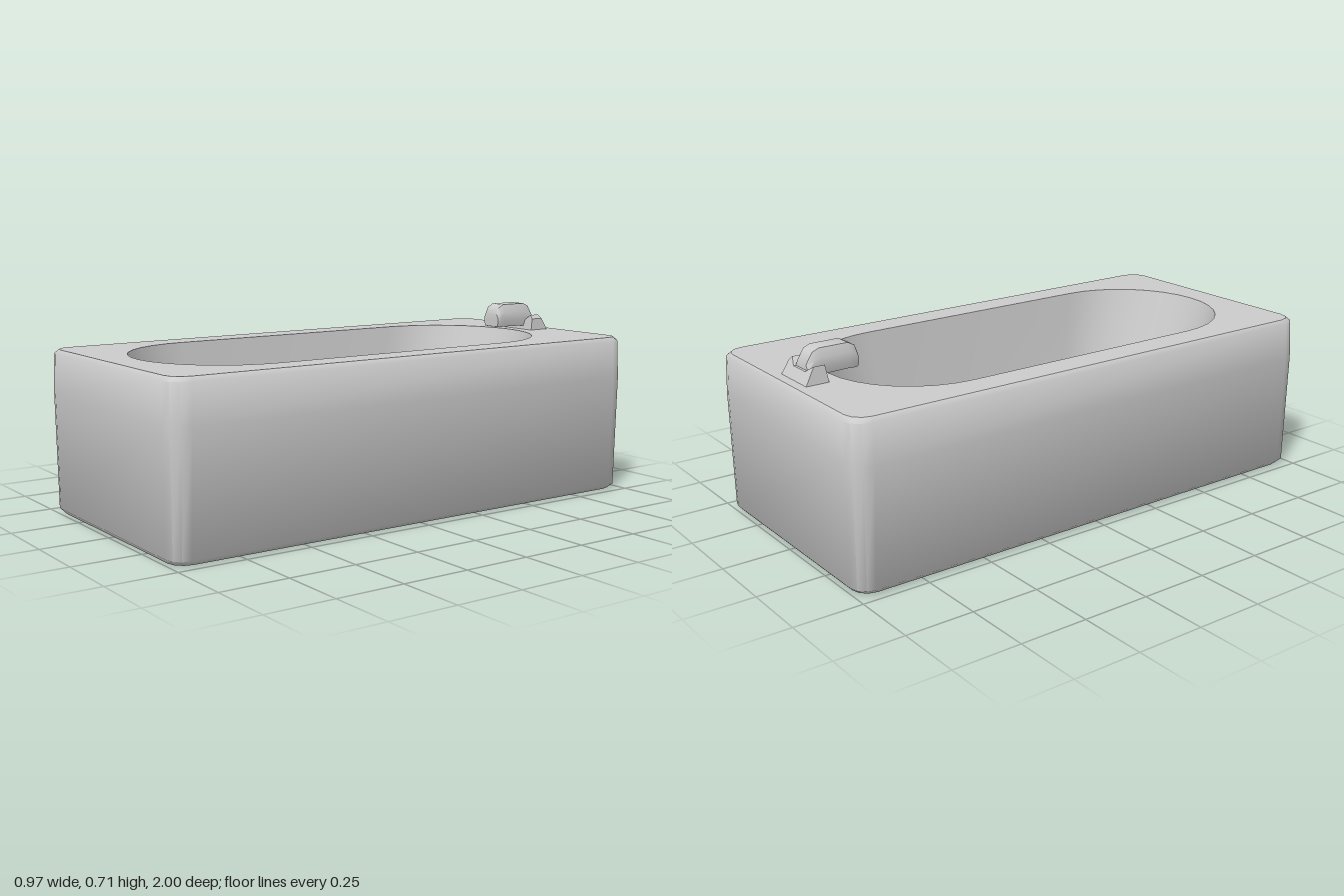
import * as THREE from 'three';
import { toCreasedNormals } from 'three/addons/utils/BufferGeometryUtils.js';

// Horizontal rounded rectangle, counter-clockwise seen from above
function roundedRing(y, halfX, zBack, zFront, r, steps) {
  const points = [];
  const corners = [
    [halfX - r, zBack + r], [-halfX + r, zBack + r],
    [-halfX + r, zFront - r], [halfX - r, zFront - r],
  ];
  corners.forEach(([cx, cz], q) => {
    for (let i = 0; i <= steps; i++) {
      const a = (q + i / steps) * Math.PI / 2;
      points.push(new THREE.Vector3(cx + r * Math.cos(a), y, cz - r * Math.sin(a)));
    }
  });
  return points;
}

// Skin a list of matching rings, optionally closing either end with a fan
function loft(rings, capStart, capEnd, crease) {
  const pos = [];
  const tri = (...v) => v.forEach((p) => pos.push(p.x, p.y, p.z));
  const n = rings[0].length;
  for (let k = 0; k < rings.length - 1; k++) {
    for (let i = 0; i < n; i++) {
      const j = (i + 1) % n;
      const [a, b, c, d] = [rings[k][i], rings[k][j], rings[k + 1][j], rings[k + 1][i]];
      tri(a, b, c);
      tri(a, c, d);
    }
  }
  const cap = (ring, flip) => {
    const mid = ring.reduce((s, p) => s.add(p), new THREE.Vector3()).divideScalar(n);
    ring.forEach((p, i) => {
      const q = ring[(i + 1) % n];
      if (flip) tri(mid, q, p);
      else tri(mid, p, q);
    });
  };
  if (capStart) cap(rings[0], true);
  if (capEnd) cap(rings[rings.length - 1], false);
  const g = new THREE.BufferGeometry();
  g.setAttribute('position', new THREE.Float32BufferAttribute(pos, 3));
  return toCreasedNormals(g, crease);
}

export function createModel() {
  const group = new THREE.Group();
  const enamel = new THREE.MeshStandardMaterial({ color: 0xcccccc });
  enamel.name = 'grey enamel';
  const add = (name, geometry) => {
    const mesh = new THREE.Mesh(geometry, enamel);
    mesh.name = name;
    group.add(mesh);
  };

  // Outer casing: slightly bulging box with softened corners
  const casing = [
    [0, 0.455, 0.98, 0.06], [0.018, 0.472, 0.996, 0.06], [0.45, 0.484, 1, 0.07],
    [0.59, 0.477, 0.997, 0.07], [0.605, 0.462, 0.982, 0.065],
  ].map(([y, x, z, r]) => roundedRing(y, x, -z, z, r, 3));
  add('casing', loft(casing, true, false, 0.9));

  // Basin: tapering stadium wall and flat floor
  const basin = [
    roundedRing(0.605, 0.353, -0.815, 0.873, 0.353, 8),
    roundedRing(0.178, 0.306, -0.683, 0.74, 0.306, 8),
  ];
  add('basin', loft(basin, false, true, 0.7));

  // Flat rim between casing and basin
  const flat = (ring) => ring.map((p) => new THREE.Vector2(p.x, -p.z));
  const rim = new THREE.Shape(flat(casing[casing.length - 1]));
  rim.holes.push(new THREE.Path(flat(basin[0])));
  add('rim', new THREE.ShapeGeometry(rim).rotateX(-Math.PI / 2).translate(0, 0.605, 0));

  // Tap spout: octagonal section, rounded over at both ends
  const section = [
    [0.85, 0], [1, 0.3], [1, 0.65], [0.72, 1], [-0.72, 1], [-1, 0.65], [-1, 0.3], [-0.85, 0],
  ];
  const spout = [
    [-0.915, 0.6, 0.66, 0.043], [-0.89, 0.61, 0.7, 0.044], [-0.865, 0.62, 0.711, 0.045],
    [-0.755, 0.622, 0.711, 0.046], [-0.73, 0.62, 0.698, 0.045], [-0.72, 0.622, 0.675, 0.042],
  ].map(([z, low, high, w]) => section.map(
    ([x, t]) => new THREE.Vector3(x * w, low + t * (high - low), z)));
  add('spout', loft(spout, true, true, 0.7));

  // Tap base with a raised handle either side, its back leaning forward
  const profile = new THREE.Shape([
    [-0.088, 0.6], [-0.03, 0.6], [0.03, 0.6], [0.088, 0.6], [0.085, 0.65], [0.072, 0.665],
    [0.04, 0.642], [-0.04, 0.642], [-0.078, 0.665],
  ].map(([x, y]) => new THREE.Vector2(x, y)));
  const base = new THREE.ExtrudeGeometry(profile, { depth: 0.09, bevelEnabled: false });
  base.translate(0, 0, -0.95);
  const p = base.attributes.position;
  for (let i = 0; i < p.count; i++) {
    const lift = p.getY(i) - 0.6;
    if (p.getZ(i) < -0.9) p.setZ(i, p.getZ(i) + lift * 0.6);
    else p.setZ(i, p.getZ(i) - lift * 0.15);
  }
  base.computeVertexNormals();
  add('tapBase', base);

  return group;
}
